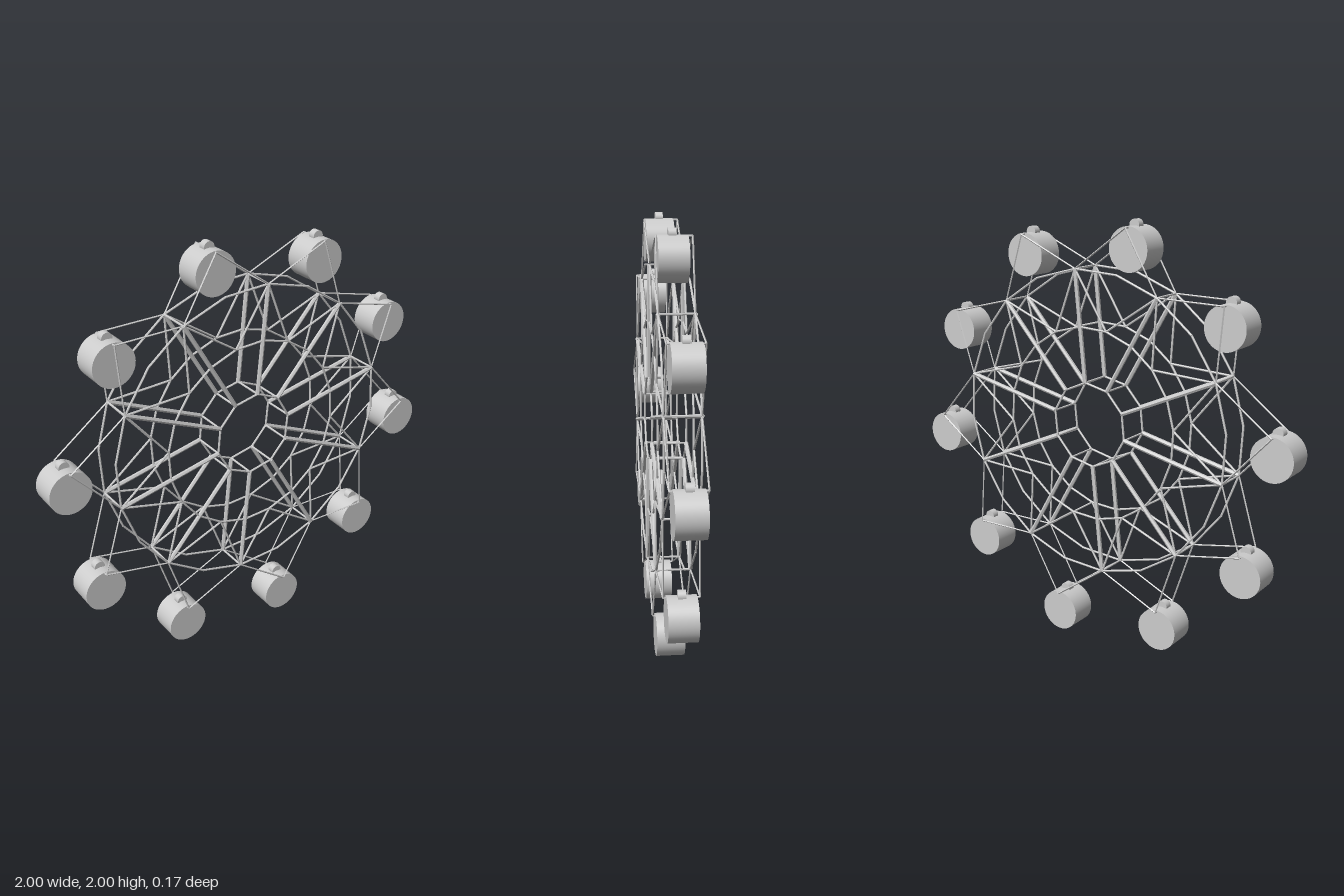
import * as THREE from 'three';

const material = new THREE.MeshStandardMaterial({ color: 0xcccccc, flatShading: true });
const smooth = new THREE.MeshStandardMaterial({ color: 0xcccccc });
const CENTER_Y = 1.078, SIDE_Z = 0.076;
const HUB_R = 0.195, INNER_R = 0.447, OUTER_R = 0.702, PIVOT_R = 0.907;

// Small hanging offsets (x, y, z) of the cabins, counter-clockwise from the top
const NUDGES = [
  [0, 0, 0.01], [0.006, -0.003, 0], [0, -0.004, 0], [0.004, -0.003, 0], [0, 0, 0],
  [0, 0, 0], [-0.007, -0.006, 0], [-0.001, -0.002, 0], [0, -0.01, 0], [0.003, 0, 0.01],
];

// Point on the wheel: step counts 18 degree divisions from the first spoke
function at(radius, step) {
  const a = THREE.MathUtils.degToRad(84 + 18 * step);
  return new THREE.Vector3(radius * Math.cos(a), CENTER_Y + radius * Math.sin(a), 0);
}

// Hanging point of a cabin, numbered 0 to 9
function pivotOf(i) {
  const [dx, dy] = NUDGES[i];
  return at(PIVOT_R, 2 * i + 1).add(new THREE.Vector3(dx, dy, 0));
}

function add(parent, name, geometry, mat, position) {
  const mesh = new THREE.Mesh(geometry, mat);
  mesh.name = name;
  mesh.position.copy(position);
  parent.add(mesh);
  return mesh;
}

// Straight tube between two points
function bar(parent, name, a, b, radius, sides = 6) {
  const dir = b.clone().sub(a);
  const geometry = new THREE.CylinderGeometry(radius, radius, dir.length(), sides);
  const mesh = add(parent, name, geometry, material, a.clone().lerp(b, 0.5));
  mesh.quaternion.setFromUnitVectors(new THREE.Vector3(0, 1, 0), dir.normalize());
}

// Tube running through the wheel from front to back
function crossBar(parent, name, p, radius) {
  const end = new THREE.Vector3(0, 0, SIDE_Z);
  bar(parent, name, p.clone().sub(end), p.clone().add(end), radius);
}

function wheelSide(z) {
  const side = new THREE.Group();
  side.name = z > 0 ? 'frontWheelFrame' : 'backWheelFrame';
  side.position.z = z;
  for (let i = 0; i < 20; i++) {
    bar(side, 'outerRim', at(OUTER_R, i), at(OUTER_R, i + 1), 0.005);
    bar(side, 'innerRing', at(INNER_R, i), at(INNER_R, i + 1), 0.005);
  }
  for (let i = 0; i < 10; i++) {
    const tip = at(OUTER_R, 2 * i);
    bar(side, 'hubRing', at(HUB_R, 2 * i), at(HUB_R, 2 * i + 2), 0.005);
    bar(side, 'spoke', at(HUB_R, 2 * i), tip, 0.01);
    // Zigzag braces inward and cabin supports outward
    bar(side, 'brace', tip, at(INNER_R, 2 * i - 1), 0.005);
    bar(side, 'brace', tip, at(INNER_R, 2 * i + 1), 0.005);
    bar(side, 'cabinSupport', tip, pivotOf(i), 0.004, 4);
    bar(side, 'cabinSupport', tip, pivotOf((i + 9) % 10), 0.004, 4);
  }
  return side;
}

// Drum-shaped cabin hanging from its pivot
function cabin(pivot, z) {
  const group = new THREE.Group();
  group.name = 'cabin';
  group.position.set(pivot.x, pivot.y, z);
  const drum = new THREE.CylinderGeometry(0.0975, 0.0975, 0.128, 48).rotateX(Math.PI / 2);
  const hanger = new THREE.CylinderGeometry(0.025, 0.025, 0.034, 24).rotateX(Math.PI / 2);
  add(group, 'cabinDrum', drum, smooth, new THREE.Vector3(0, -0.092, 0));
  add(group, 'cabinHanger', hanger, smooth, new THREE.Vector3(0, 0.008, 0));
  return group;
}

export function createModel() {
  const model = new THREE.Group();
  model.name = 'ferrisWheel';
  model.add(wheelSide(SIDE_Z), wheelSide(-SIDE_Z));
  for (let i = 0; i < 10; i++) {
    crossBar(model, 'hubCrossBar', at(HUB_R, 2 * i), 0.005);
    crossBar(model, 'rimCrossBar', at(OUTER_R, 2 * i), 0.005);
    crossBar(model, 'cabinAxle', pivotOf(i), 0.004);
    model.add(cabin(pivotOf(i), NUDGES[i][2]));
  }
  return model;
}
